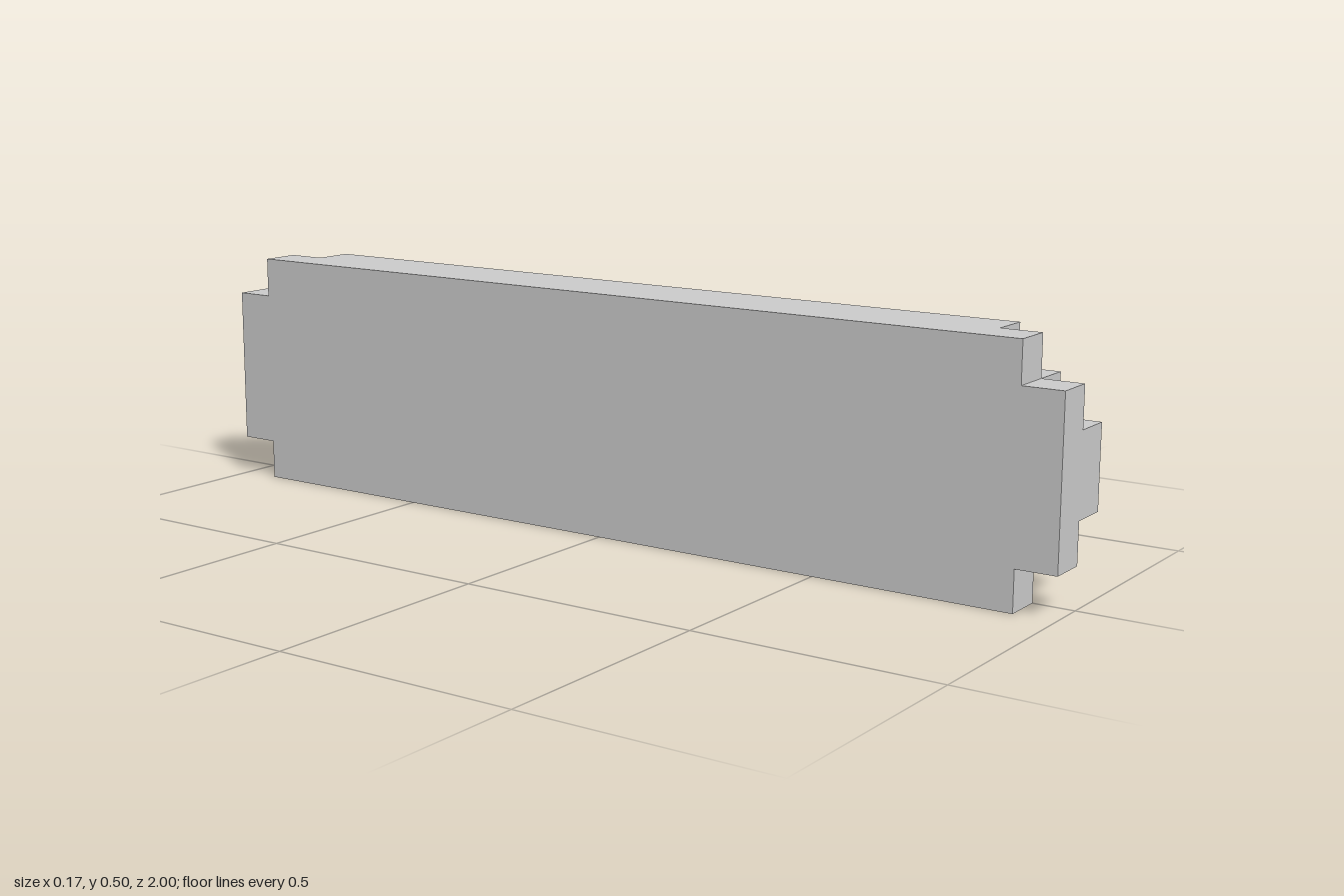
import * as THREE from 'three';

const U = 1 / 12; // one block unit
const HALF_LENGTH = 12, HALF_HEIGHT = 3;

// One slab, a unit thick, whose four corners are cut away in unit stairs
function slab(name, steps, x, material) {
  const corner = [];
  for (let i = 0; i <= steps; i++) {
    corner.push([HALF_LENGTH - i, HALF_HEIGHT - steps + i]);
    if (i < steps) corner.push([HALF_LENGTH - i - 1, HALF_HEIGHT - steps + i]);
  }
  const flip = (sx, sy) => corner.map(([a, b]) => new THREE.Vector2(sx * a * U, (sy * b + HALF_HEIGHT) * U));
  const outline = [
    ...flip(1, 1), ...flip(-1, 1).reverse(),
    ...flip(-1, -1), ...flip(1, -1).reverse(),
  ];
  const geometry = new THREE.ExtrudeGeometry(new THREE.Shape(outline), { depth: U, bevelEnabled: false });
  geometry.rotateY(Math.PI / 2); // length along z, thickness along +x
  const mesh = new THREE.Mesh(geometry, material);
  mesh.name = name;
  mesh.position.x = x;
  return mesh;
}

export function createModel() {
  const group = new THREE.Group();
  group.name = 'steppedPlank';
  const material = new THREE.MeshStandardMaterial({ color: 0xcccccc, flatShading: true });
  group.add(slab('rightSlab', 1, -U, material)); // single notch per corner
  group.add(slab('leftSlab', 2, 0, material)); // two stairs per corner
  return group;
}
